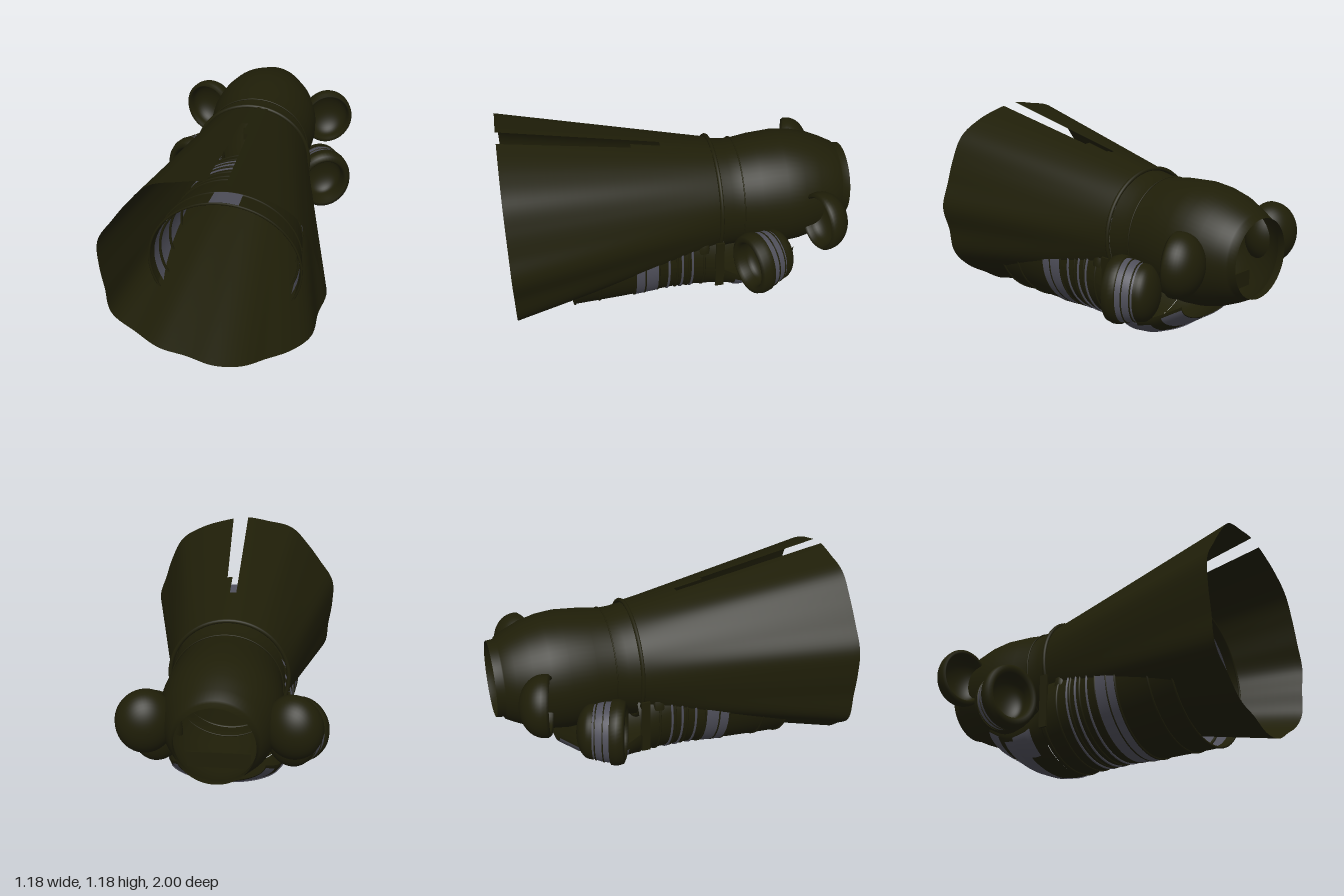
import * as THREE from 'three';

const mat = (name, color) => {
  const m = new THREE.MeshStandardMaterial({ color, side: THREE.DoubleSide });
  m.name = name;
  return m;
};
const lerp = THREE.MathUtils.lerp;

// Smooth sheet through fn(u, v) -> [x, y, z]
function sheet(fn, nu, nv) {
  const g = new THREE.PlaneGeometry(1, 1, nu, nv);
  const p = g.attributes.position, uv = g.attributes.uv;
  for (let i = 0; i < p.count; i++) p.setXYZ(i, ...fn(uv.getX(i), uv.getY(i)));
  g.computeVertexNormals();
  return g;
}

// Interpolate rows [z, a, b, ...] ordered by falling z
function rowAt(rows, z) {
  let i = 0;
  while (i < rows.length - 2 && z < rows[i + 1][0]) i++;
  const a = rows[i], b = rows[i + 1], t = THREE.MathUtils.clamp((z - a[0]) / (b[0] - a[0]), 0, 1);
  return a.map((v, k) => lerp(v, b[k], t));
}

export function createModel() {
  const olive = mat('dark olive', 0x1f1e08);
  const grey = mat('slate grey', 0x4f4f5a);
  const root = new THREE.Group();
  const add = (name, geo, m, parent = root) => {
    const mesh = new THREE.Mesh(geo, m);
    mesh.name = name;
    parent.add(mesh);
    return mesh;
  };

  // Flared horn with a wavy mouth: mouth radius every 15 degrees from +x
  const mouth = [.59, .565, .575, .6, .585, .575, .582, .58, .602, .58, .578, .605,
    .59, .59, .63, .6, .6, .575, .6, .6, .58, .595, .605, .572];
  const wave = (a) => {
    const f = (((a / (Math.PI * 2)) % 1 + 1) % 1) * 24, i = Math.floor(f), t = f - i;
    const [p0, p1, p2, p3] = [23, 0, 1, 2].map((k) => mouth[(i + k) % 24]);
    return p1 + .5 * t * (p2 - p0 + t * (2 * p0 - 5 * p1 + 4 * p2 - p3 + t * (3 * (p1 - p2) + p3 - p0)));
  };
  const horn = (z, a, lift = 0) => {
    const t = (z + .2) / 1.2, r = lerp(.332, wave(a), t) + lift;
    return [r * Math.cos(a), lerp(.61, .6, t) + r * Math.sin(a), z];
  };
  const angleAt = (x, z) => Math.acos(x / lerp(.332, .58, (z + .2) / 1.2));
  const slotRight = (z) => .055 + .041 * (z - .27);
  add('flaredHorn', sheet((u, v) => {
    const z = lerp(-.2, 1, v);
    return horn(z, lerp(angleAt(slotRight(z), z), angleAt(-.012, z) - Math.PI * 2, u));
  }, 160, 30), olive);

  // Closed part behind the slot, its step, and raised seam strips
  const hornStrip = (name, x0, x1, z0, z1, lift) => add(name, sheet((u, v) => {
    const z = lerp(z0, z1, v);
    return horn(z, lerp(angleAt(x0, z), angleAt(x1 ?? slotRight(z), z), u), lift);
  }, 4, 6), olive);
  hornStrip('slotEnd', -.012, null, -.2, .1, 0);
  hornStrip('slotStep', .025, null, .1, .27, 0);
  hornStrip('seamStrip', .03, .05, -.2, .1, .012);
  hornStrip('seamStrip', .07, .09, -.2, .08, .012);

  // Hollow rounded head with an open collar at the back
  const headProfile = [[.333, -.2], [.322, -.27], [.318, -.34], [.335, -.45], [.345, -.6], [.335, -.7],
    [.31, -.8], [.27, -.89], [.238, -.95], [.225, -.955], [.22, -1]];
  const head = add('head', new THREE.LatheGeometry(headProfile.map((p) => new THREE.Vector2(...p)), 64), olive);
  head.geometry.rotateX(Math.PI / 2);
  head.scale.x = .96;
  head.position.y = .605;
  for (const [z, r, w] of [[-.2, .341, .012], [-.34, .317, .004]]) {
    add('neckRing', new THREE.TorusGeometry(r, w, 8, 72), olive).position.set(0, .608, z);
  }
  add('headFloor', new THREE.BoxGeometry(.34, .09, .01), olive).position.set(0, .41, -.8);

  // Inner barrel that shows below the horn: rows are z, bottom, top, half width
  const barrel = [[.67, .012, .83, .425], [.5, .012, .8, .405], [.3, .015, .75, .38], [.1, .03, .7, .355],
    [-.05, .028, .66, .345], [-.22, .02, .6, .345]];
  const ringPoint = (z, a, grow) => {
    const [, b, t, w] = rowAt(barrel, z);
    return [(w + grow) * Math.cos(a), (b + t) / 2 + ((t - b) / 2 + grow) * Math.sin(a), z];
  };
  const band = (name, z0, z1, grow, m, a0 = 0, a1 = 2) => add(name, sheet((u, v) =>
    ringPoint(lerp(z0, z1, v), lerp(a0, a1, u) * Math.PI, grow), 72, 6), m);
  band('barrelShell', .67, -.22, 0, olive);
  band('barrelStripe', .31, .17, .004, grey, .9, 2.1);
  band('barrelTopPlate', .665, .525, .008, grey, .44, .56);
  band('barrelLiningFront', .62, .05, -.012, grey);
  band('barrelLiningRear', .05, -.22, -.012, olive);
  const rib = (name, z, r, grow, m) => {
    const pts = [];
    for (let i = 0; i < 48; i++) pts.push(new THREE.Vector3(...ringPoint(z, i / 48 * Math.PI * 2, grow)));
    add(name, new THREE.TubeGeometry(new THREE.CatmullRomCurve3(pts, true), 96, r, 6, true), m);
  };
  for (const z of [.665, .52, .31, .25, .17, .06, -.01, -.1, -.2]) rib('barrelRib', z, .007, 0, olive);
  for (const z of [.11, .03, -.03]) rib('greyRib', z, .007, .002, grey);
  for (const z of [.55, .4, .22]) rib('liningRib', z, .008, -.018, olive);
  // Upright plates on the barrel flanks
  for (const s of [-1, 1]) {
    add('flankPlate', new THREE.BoxGeometry(.012, .32, .05), olive).position.set(s * .347, .34, -.19);
  }

  // Chin guard curving up under the head: rows are z, bottom, upper edge, half width
  const chin = [[-.22, .02, .29, .345], [-.32, .028, .22, .34], [-.42, .05, .2, .33], [-.5, .085, .215, .31],
    [-.57, .135, .25, .28], [-.67, .2, .31, .24]];
  const chinPart = (name, z0, z1, a0, a1, grow, m) => add(name, sheet((u, v) => {
    const [z, b, t, w] = rowAt(chin, lerp(z0, z1, v)), a = Math.PI * (1 + lerp(a0, a1, u));
    return [(w + grow) * Math.cos(a), t + (t - b + grow) * Math.sin(a), z];
  }, 32, 12), m);
  chinPart('chinGuard', -.22, -.67, 0, 1, 0, olive);
  chinPart('chinStripe', -.36, -.5, .1, .9, .005, grey);
  for (const a of [.06, .72]) chinPart('chinSideStripe', -.29, -.42, a, a + .22, .006, grey);
  chinPart('chinTip', -.56, -.67, .05, .95, .005, grey);

  // Crossing inner straps and the low arch behind them
  const arch = (name, x, y, r, tube) => {
    const mesh = add(name, new THREE.TorusGeometry(r, tube, 8, 40, Math.PI), olive);
    mesh.position.set(x, y, -.1);
    mesh.scale.set(1, .9, 2);
  };
  for (const s of [-1, 1]) arch('innerStrap', s * .13, .42, .19, .017);
  arch('lowArch', 0, .4, .145, .022);

  // Cupped round ears and lower side pods, mirrored
  const turned = (pts) => {
    const g = new THREE.LatheGeometry(pts.map((p) => new THREE.Vector2(...p)), 48);
    return g.rotateX(Math.PI / 2);
  };
  const dome = (r, z0, depth) => Array.from({ length: 13 }, (_, i) => {
    const a = i / 12 * Math.PI / 2;
    return [r * Math.sin(a) + 1e-4, z0 - depth * Math.cos(a)];
  });
  for (const s of [-1, 1]) {
    const ear = new THREE.Group();
    ear.name = s > 0 ? 'leftEar' : 'rightEar';
    ear.position.set(s * .392, .613, -.765);
    ear.rotation.y = s * .3;
    ear.scale.y = 1.12;
    add('earCup', turned([...dome(.158, -.01, .135), [.157, .015], [.145, .03], [.135, .02], [.132, -.01]]), olive, ear);
    add('earInner', turned(dome(.132, -.01, .09)), olive, ear);
    root.add(ear);

    const pod = new THREE.Group();
    pod.name = s > 0 ? 'leftPod' : 'rightPod';
    pod.position.set(s * .405, .385, -.42);
    pod.rotation.y = s * .37;
    pod.scale.y = 1.15;
    add('podDome', turned([...dome(.14, -.1, .085), [.142, -.085]]), olive, pod);
    add('podBand', turned([[.138, -.085], [.15, -.04], [.155, .015]]), grey, pod);
    add('podRim', turned([[.155, .01], [.166, .015], [.168, .05], [.158, .085], [.135, .095], [.12, .075], [.118, .02]]), olive, pod);
    add('podInner', turned(dome(.118, .02, .07)), olive, pod);
    for (const [r, z] of [[.143, -.07], [.152, -.025]]) {
      add('podRib', new THREE.TorusGeometry(r, .004, 6, 48), olive, pod).position.z = z;
    }
    root.add(pod);
  }
  return root;
}
